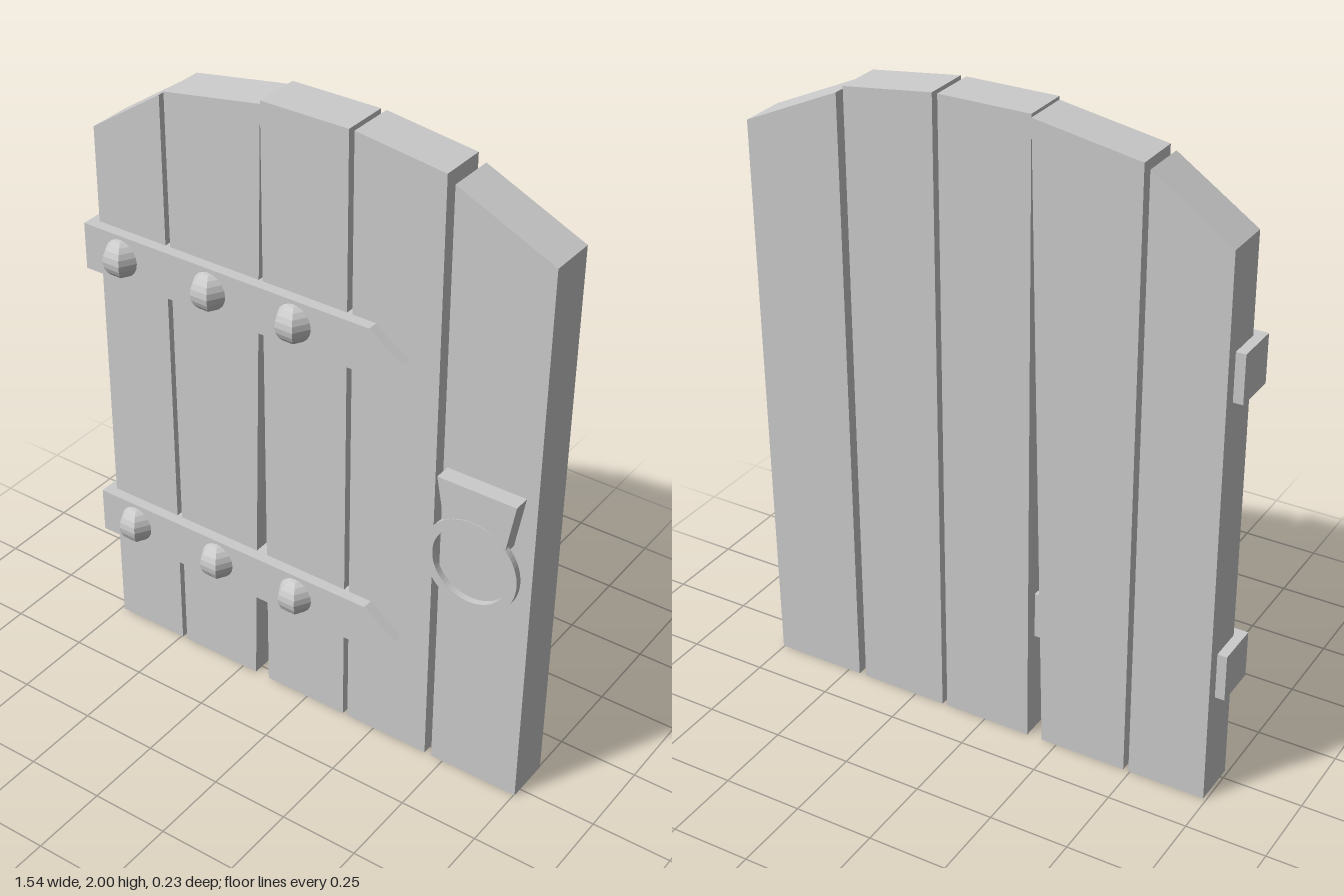
import * as THREE from 'three';

const material = new THREE.MeshStandardMaterial({ color: 0xcccccc, flatShading: true });

// Flat outline in x/y, extruded from z0 to z1
function slab(name, outline, z0, z1, holes = []) {
  const shape = Array.isArray(outline)
    ? new THREE.Shape(outline.map(([x, y]) => new THREE.Vector2(x, y)))
    : outline;
  shape.holes.push(...holes);
  const geometry = new THREE.ExtrudeGeometry(shape, { depth: z1 - z0, bevelEnabled: false, curveSegments: 32 });
  geometry.translate(0, 0, z0);
  const mesh = new THREE.Mesh(geometry, material);
  mesh.name = name;
  return mesh;
}

export function createModel() {
  const door = new THREE.Group();
  door.name = 'door';

  // Planks: bottom left, bottom right, top right x/y, top left x/y
  const planks = [
    [-0.74, -0.495, -0.495, 1.92, -0.74, 1.755],
    [-0.478, -0.2, -0.15, 1.99, -0.478, 1.935],
    [-0.15, 0.135, 0.135, 2, -0.15, 2],
    [0.152, 0.436, 0.436, 1.963, 0.152, 2],
    [0.46, 0.753, 0.767, 1.8, 0.46, 1.94],
  ];
  planks.forEach(([bl, br, trx, try_, tlx, tly], i) => {
    door.add(slab(`plank${i + 1}`, [[bl, 0], [br, 0], [trx, try_], [tlx, tly]], -0.115, 0.032));
  });

  // Pointed hinge straps, let into the planks, with three domed studs each
  const studGeometry = new THREE.SphereGeometry(0.06, 6, 10);
  for (const [side, y] of [['upper', 1.3], ['lower', 0.34]]) {
    const hinge = new THREE.Group();
    hinge.name = `${side}Hinge`;
    hinge.add(slab('strap',
      [[-0.77, y], [0.23, y], [0.34, y + 0.073], [0.23, y + 0.15], [-0.77, y + 0.15]], -0.075, 0.066));
    for (const x of [-0.635, -0.315, -0.02]) {
      const stud = new THREE.Mesh(studGeometry, material);
      stud.name = 'stud';
      stud.position.set(x, y + 0.078, 0.063);
      hinge.add(stud);
    }
    door.add(hinge);
  }

  // Handle: tapered plate with a flat pull ring
  const handle = new THREE.Group();
  handle.name = 'handle';
  handle.add(slab('handlePlate', [[0.505, 0.905], [0.695, 0.905], [0.725, 1.075], [0.473, 1.075]], 0.032, 0.084));
  const rim = new THREE.Shape().absarc(0.59, 0.818, 0.151, 0, Math.PI * 2);
  const hole = new THREE.Path().absarc(0.59, 0.818, 0.122, 0, Math.PI * 2, true);
  handle.add(slab('pullRing', rim, 0.066, 0.086, [hole]));
  door.add(handle);

  return door;
}
